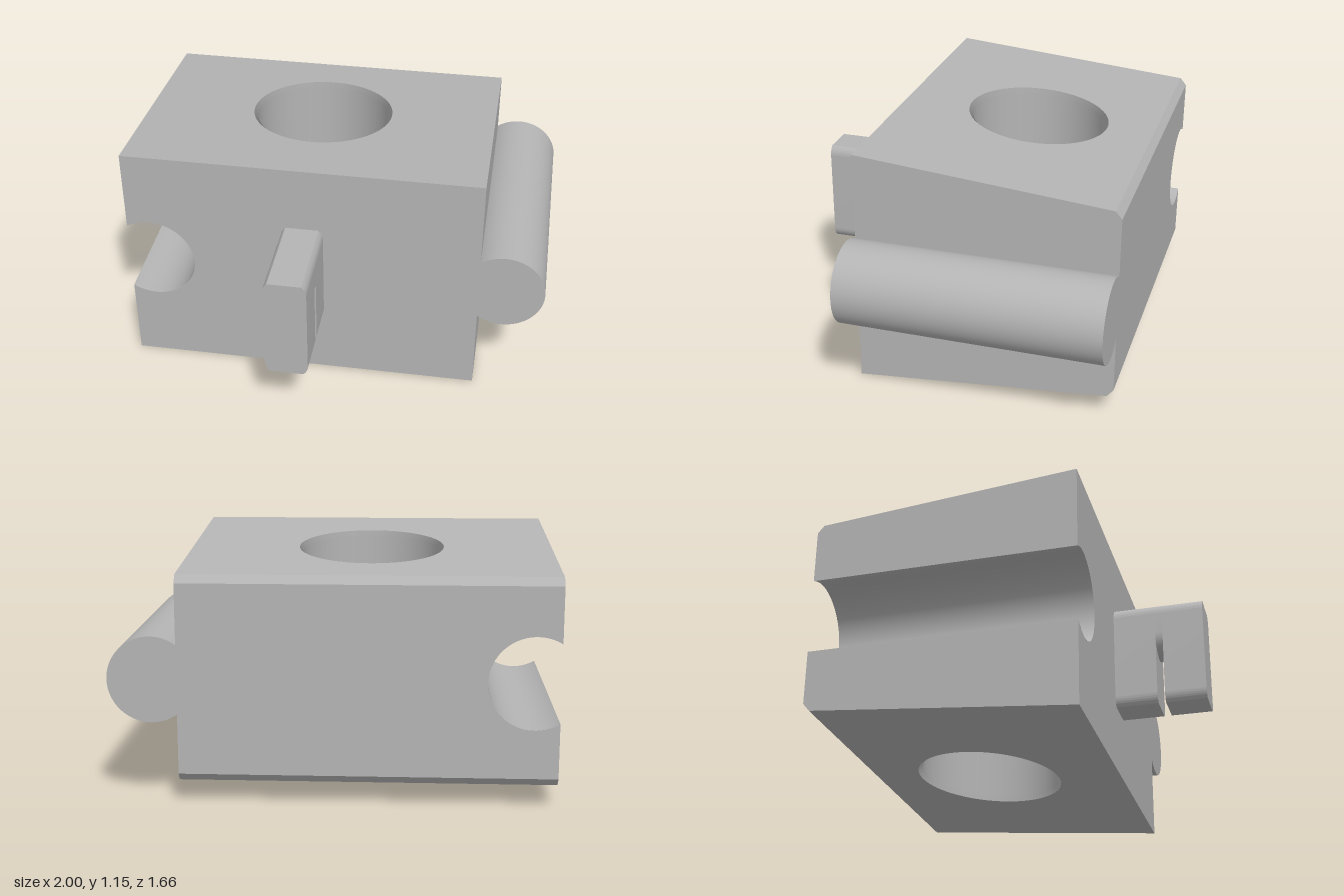
import * as THREE from 'three';
import { toCreasedNormals } from 'three/addons/utils/BufferGeometryUtils.js';

const MID = 0.575;                       // height of the symmetry plane
const FRONT = 0.4, BACK = -0.83, BEVEL = -0.8;
const LEFT = 0.69, RIGHT = -1;           // block sides in x
const rod = { x: 0.805, r: 0.195 }, groove = { x: -0.89, r: 0.21 };
const hole = { x: -0.155, z: -0.24, r: 0.32, rim: 0.34 };
const rodAngle = Math.PI - Math.acos((rod.x - LEFT) / rod.r);
const grooveAngle = Math.PI - Math.acos((groove.x - RIGHT) / groove.r);

// Half height of the tapered block at a given depth, including the back bevel
const half = z => z >= BEVEL - 1e-6
  ? 0.468 + (z - BEVEL) / (FRONT - BEVEL) * 0.107
  : 0.468 + (z - BEVEL) * 1.2;

function reverseFaces(g) {
  const a = g.index.array;
  for (let i = 0; i < a.length; i += 3) [a[i], a[i + 1]] = [a[i + 1], a[i]];
  return g;
}
function flip(g) {
  const n = g.attributes.normal.array;
  for (let i = 0; i < n.length; i++) n[i] = -n[i];
  return reverseFaces(g);
}
const mirrorY = g => reverseFaces(g.clone().scale(1, -1, 1));

// Sets each vertex height by a rule of (y, z)
function setHeight(g, rule) {
  const p = g.attributes.position;
  for (let i = 0; i < p.count; i++) p.setY(i, rule(p.getY(i), p.getZ(i)));
  return g;
}

// End outline: rectangle with a round tongue on one side and a round groove on the other
function endFace(z) {
  const h = half(z), s = new THREE.Shape();
  s.moveTo(RIGHT, -h);
  s.lineTo(LEFT, -h);
  s.absarc(rod.x, 0, rod.r, -rodAngle, rodAngle, false);
  s.lineTo(LEFT, h);
  s.lineTo(RIGHT, h);
  s.absarc(groove.x, 0, groove.r, grooveAngle, -grooveAngle, true);
  return new THREE.ShapeGeometry(s, 48).translate(0, 0, z);
}

// Curved wall of the tongue or groove, running front to back
function roundWall({ x, r }, angle) {
  return new THREE.CylinderGeometry(r, r, FRONT - BACK, 48, 1, true, Math.PI / 2 - angle, 2 * angle)
    .rotateX(Math.PI / 2).translate(x, 0, (FRONT + BACK) / 2);
}

// Upper part of a side wall, above the tongue or groove
function sideFace(x, bottom) {
  const s = new THREE.Shape([
    [-FRONT, bottom], [-BACK, bottom], [-BACK, half(BACK)], [-BEVEL, half(BEVEL)], [-FRONT, half(FRONT)],
  ].map(p => new THREE.Vector2(...p)));
  return new THREE.ShapeGeometry(s).rotateY(Math.PI / 2).translate(x, 0, 0);
}

// Sloped top with the round opening
function topFace() {
  const s = new THREE.Shape();
  s.moveTo(RIGHT, -FRONT);
  s.lineTo(LEFT, -FRONT);
  s.lineTo(LEFT, -BEVEL);
  s.lineTo(RIGHT, -BEVEL);
  s.holes.push(new THREE.Path().absarc(hole.x, -hole.z, hole.rim, 0, Math.PI * 2, true));
  const g = new THREE.ShapeGeometry(s, 64).rotateX(-Math.PI / 2);
  setHeight(g, (y, z) => half(z)).computeVertexNormals();
  return g;
}

// Tab cross-section; the neck behind the slot ends in a half round
function tabShape(neck) {
  const w = 0.1, t = 0.255, cx = 0.022, cy = 0.05, s = new THREE.Shape();
  s.moveTo(w, t - cy);
  s.quadraticCurveTo(w, t - cy * 0.4, w - cx, t);
  s.lineTo(-w + cx, t);
  s.quadraticCurveTo(-w, t - cy * 0.4, -w, t - cy);
  if (neck) {
    s.absarc(0, 0.105, w, Math.PI, Math.PI * 2, false);
  } else {
    s.lineTo(-w, -t + cy);
    s.quadraticCurveTo(-w, -t + cy * 0.4, -w + cx, -t);
    s.lineTo(w - cx, -t);
    s.quadraticCurveTo(w, -t + cy * 0.4, w, -t + cy);
  }
  return s;
}

export function createModel() {
  const grey = new THREE.MeshStandardMaterial({ color: 0xb4b4b4, side: THREE.DoubleSide });
  grey.name = 'plain grey';
  const model = new THREE.Group();
  model.name = 'interlockingBlock';
  const body = new THREE.Group();
  body.name = 'body';
  body.position.y = MID;
  model.add(body);

  const add = (name, geometry) => {
    const m = new THREE.Mesh(geometry, grey);
    m.name = name;
    body.add(m);
  };
  const addPair = (name, g) => {
    add(name + 'Upper', g);
    add(name + 'Lower', mirrorY(g));
  };

  // Block ends, tongue and groove
  add('frontFace', endFace(FRONT));
  add('backFace', flip(endFace(BACK)));
  add('tongue', roundWall(rod, rodAngle));
  add('groove', flip(roundWall(groove, grooveAngle)));

  // Side walls, sloped faces and back bevels
  addPair('leftSide', sideFace(LEFT, rod.r * Math.sin(rodAngle)));
  addPair('rightSide', flip(sideFace(RIGHT, groove.r * Math.sin(grooveAngle))));
  addPair('slopedFace', topFace());
  const bevel = new THREE.PlaneGeometry(LEFT - RIGHT, BEVEL - BACK)
    .rotateX(-Math.PI / 2).translate((LEFT + RIGHT) / 2, 0, (BEVEL + BACK) / 2);
  setHeight(bevel, (y, z) => half(z)).computeVertexNormals();
  addPair('backBevel', bevel);

  // Vertical through hole with bevelled rims
  const rimDepth = 0.02;
  const bore = new THREE.CylinderGeometry(hole.r, hole.r, 1, 64, 1, true).translate(hole.x, 0, hole.z);
  add('bore', flip(setHeight(bore, (y, z) => Math.sign(y) * (half(z) - rimDepth))));
  const rim = new THREE.CylinderGeometry(hole.rim, hole.r, 1, 64, 1, true).translate(hole.x, 0, hole.z);
  addPair('boreRim', flip(setHeight(rim, (y, z) => half(z) - (y < 0 ? rimDepth : 0))));

  // Slotted tab on the front
  const sections = [['tabBase', 0.4, 0.6, false], ['tabNeck', 0.6, 0.635, true], ['tabEnd', 0.635, 0.83, false]];
  for (const [name, z0, z1, neck] of sections) {
    const g = new THREE.ExtrudeGeometry(tabShape(neck), { depth: z1 - z0, bevelEnabled: false, curveSegments: 16 });
    add(name, toCreasedNormals(g, 0.4).translate(-0.15, 0, z0));
  }
  return model;
}
